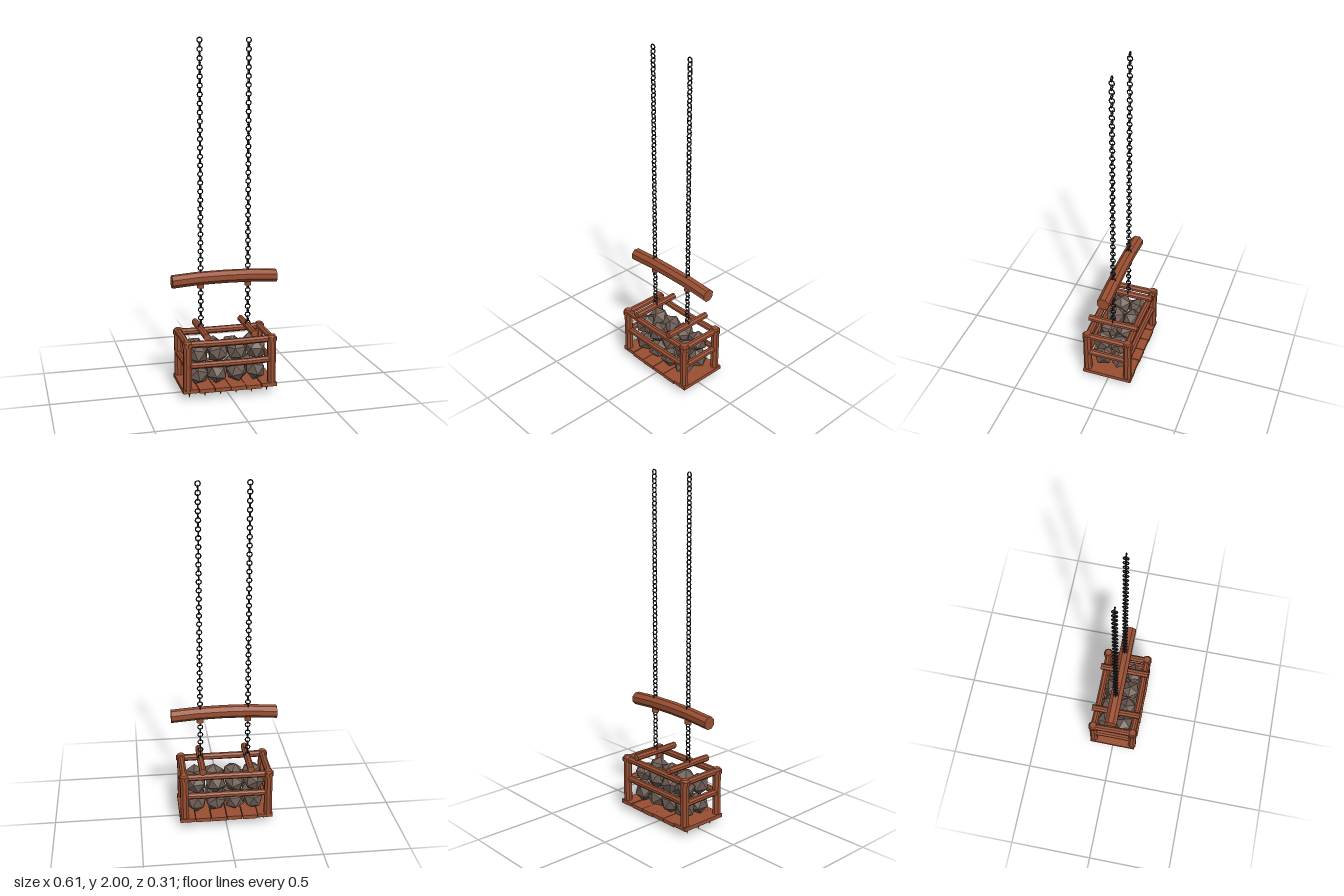
import * as THREE from 'three';

const mat = (name, color) => {
  const m = new THREE.MeshStandardMaterial({ color, flatShading: true });
  m.name = name;
  return m;
};

export function createModel() {
  const root = new THREE.Group();
  root.name = 'hangingStoneCrate';
  const wood = mat('redBrownWood', 0x9a4f32);
  const stone = mat('greyBrownStone', 0x6c5c53);
  const iron = mat('blackIron', 0x1f2125);

  // small seeded generator for hand-made irregularity
  let seed = 7;
  const rnd = () => (seed = (seed * 16807) % 2147483647) / 2147483647;
  const jit = (a) => (rnd() * 2 - 1) * a;

  const add = (name, geo, material, x, y, z, parent = root) => {
    const m = new THREE.Mesh(geo, material);
    m.name = name;
    m.position.set(x, y, z);
    parent.add(m);
    return m;
  };

  // log along an axis, slightly bowed and uneven along its length
  const log = (name, axis, length, r, x, y, z, bowX = 0, bowZ = 0, wobble = 0.001) => {
    const g = new THREE.CylinderGeometry(r, r, length, 8, 4);
    const shift = Array.from({ length: 5 }, () => [jit(wobble), jit(wobble)]);
    const p = g.attributes.position;
    for (let i = 0; i < p.count; i++) {
      const t = p.getY(i) / (length / 2);
      const s = shift[Math.round((t + 1) * 2)];
      const b = 1 - t * t;
      p.setX(i, p.getX(i) + bowX * b + s[0]);
      p.setZ(i, p.getZ(i) + bowZ * b + s[1]);
    }
    g.rotateY(Math.PI / 8);
    if (axis === 'x') g.rotateZ(-Math.PI / 2);
    if (axis === 'z') g.rotateX(Math.PI / 2);
    g.computeVertexNormals();
    return add(name, g, wood, x, y, z);
  };

  // floor planks with iron spikes beneath
  const spike = new THREE.CylinderGeometry(0.011, 0.001, 0.04, 6);
  for (let i = 0; i < 6; i++) {
    const x = -0.228 + i * 0.0912;
    const plank = add('floorPlank', new THREE.BoxGeometry(0.088, 0.022, 0.295 + jit(0.006)),
      wood, x, 0.05 + jit(0.003), jit(0.003));
    plank.rotation.y = jit(0.012);
    for (const z of [-0.09, 0, 0.09]) add('spike', spike, iron, x, 0.02, z);
  }

  // corner posts with collars and chamfered tops
  const collar = new THREE.CylinderGeometry(0.03, 0.03, 0.022, 10);
  const top = new THREE.CylinderGeometry(0.02, 0.026, 0.012, 10);
  for (const sx of [-1, 1]) for (const sz of [-1, 1]) {
    log('cornerPost', 'y', 0.28, 0.025, sx * 0.245, 0.195, sz * 0.125);
    add('postCollar', collar, wood, sx * 0.245, 0.32, sz * 0.125);
    add('postTop', top, wood, sx * 0.245, 0.337, sz * 0.125);
  }

  // rails on all four sides
  for (const s of [-1, 1]) {
    log('longTopRail', 'x', 0.46, 0.02, 0, 0.32, s * 0.123, 0, 0.004);
    log('longMiddleRail', 'x', 0.46, 0.019, 0, 0.198, s * 0.123, 0, 0.004);
    log('sideTopRail', 'z', 0.23, 0.02, s * 0.245, 0.322, 0);
    log('sideMiddleRail', 'z', 0.23, 0.019, s * 0.245, 0.195, 0);
  }

  // faceted stones stacked two high
  const stones = new THREE.Group();
  stones.name = 'stones';
  root.add(stones);
  for (const y of [0.122, 0.242]) for (const z of [-0.053, 0.053]) for (let i = 0; i < 4; i++) {
    const m = add('stone', new THREE.IcosahedronGeometry(0.063, 0), stone,
      -0.168 + i * 0.112 + jit(0.003), y, z, stones);
    m.rotation.set(rnd() * 6, rnd() * 6, rnd() * 6);
  }

  // lifting beam and the two crossbars
  log('liftingBeam', 'x', 0.61, 0.038, 0, 0.656, 0, -0.011, 0, 0.002);
  const socket = new THREE.CylinderGeometry(0.02, 0.02, 0.078, 12);
  const link = new THREE.TorusGeometry(0.014, 0.0036, 6, 10);
  for (const x of [-0.138, 0.138]) {
    log('crossbar', 'z', 0.302, 0.02, x, 0.365, 0);
    add('chainSocket', socket, wood, x, 0.648, 0);

    // chain of alternating rings
    const chain = new THREE.Group();
    chain.name = 'chain';
    root.add(chain);
    for (let i = 0; i < 67; i++) {
      const ring = add('chainLink', link, iron, x, 1.9824 - i * 0.0242, 0, chain);
      ring.rotation.y = (i % 2) * Math.PI / 2;
    }
  }
  return root;
}
